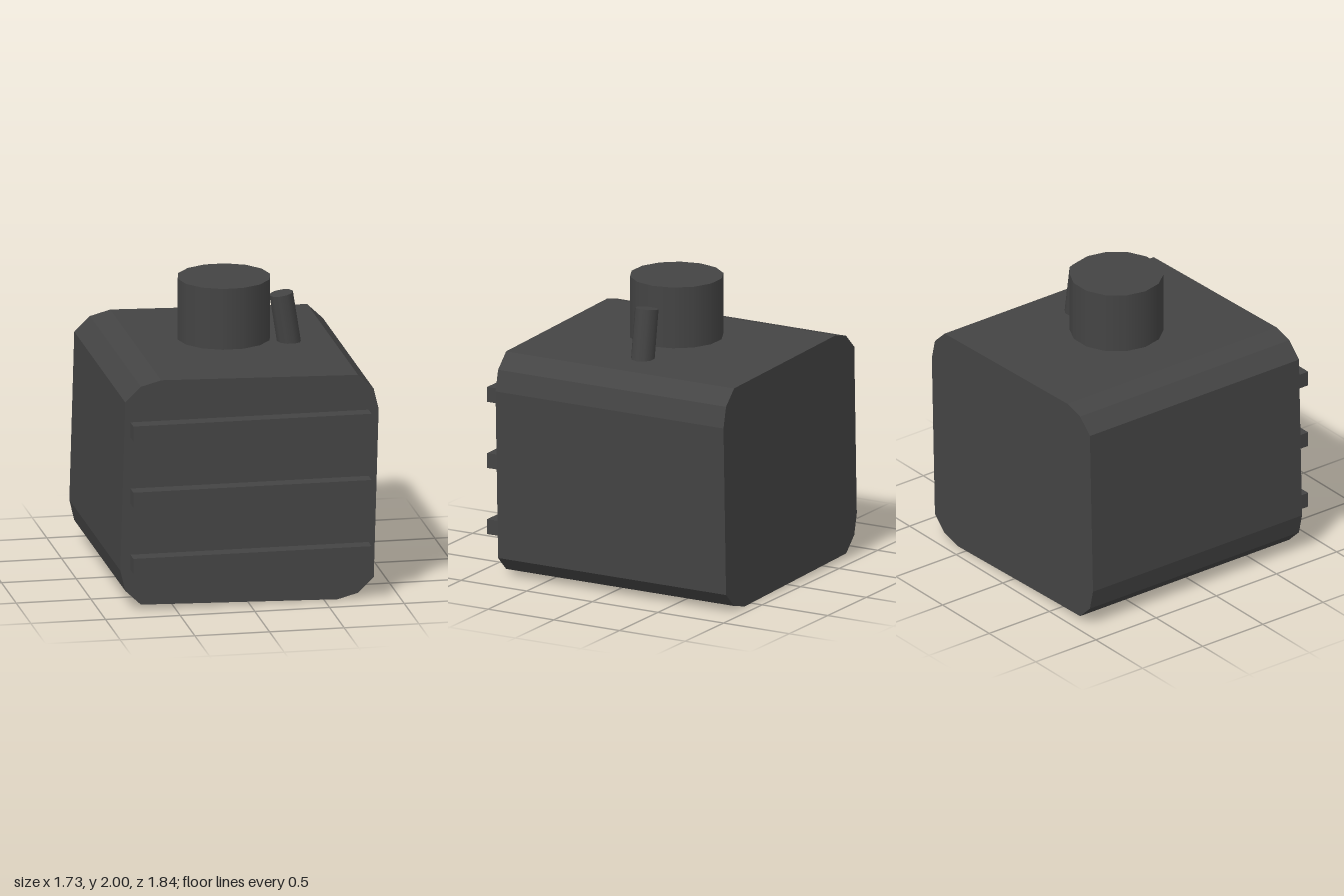
import * as THREE from 'three';

export function createModel() {
  const model = new THREE.Group();
  const dark = new THREE.MeshStandardMaterial({ color: 0x444444 });
  const darkFlat = new THREE.MeshStandardMaterial({ color: 0x444444, flatShading: true });

  const add = (name, geometry, material, x, y, z) => {
    const mesh = new THREE.Mesh(geometry, material);
    mesh.name = name;
    mesh.position.set(x, y, z);
    model.add(mesh);
    return mesh;
  };

  // Body: chamfered, slightly skewed outline; the second half is the first turned by 180 degrees
  const half = [
    [0.59, -0.78], [0.727, -0.743], [0.832, -0.642],
    [0.865, 0.505], [0.832, 0.645], [0.727, 0.745],
  ];
  const outline = [...half, ...half.map(([x, y]) => [-x, -y])];
  const shape = new THREE.Shape(outline.map(([x, y]) => new THREE.Vector2(x, y)));
  const bodyGeometry = new THREE.ExtrudeGeometry(shape, { depth: 1.737, bevelEnabled: false });
  add('body', bodyGeometry, darkFlat, 0, 0.784, -0.92);

  // Front ribs
  for (const y of [0.333, 0.785, 1.237]) {
    add('frontRib', new THREE.BoxGeometry(1.595, 0.102, 0.13), dark, 0, y, 0.855);
  }

  // Filler cap hovering just above the top
  const cap = new THREE.CylinderGeometry(0.31, 0.31, 0.415, 14).rotateY(Math.PI / 2);
  add('cap', cap, dark, 0, 1.7925, -0.055);

  // Leaning spout beside the cap
  const spout = new THREE.CylinderGeometry(0.079, 0.079, 0.4, 10).rotateY(Math.PI / 2);
  add('spout', spout, dark, 0.414, 1.667, -0.053).rotation.z = 0.155;

  return model;
}
